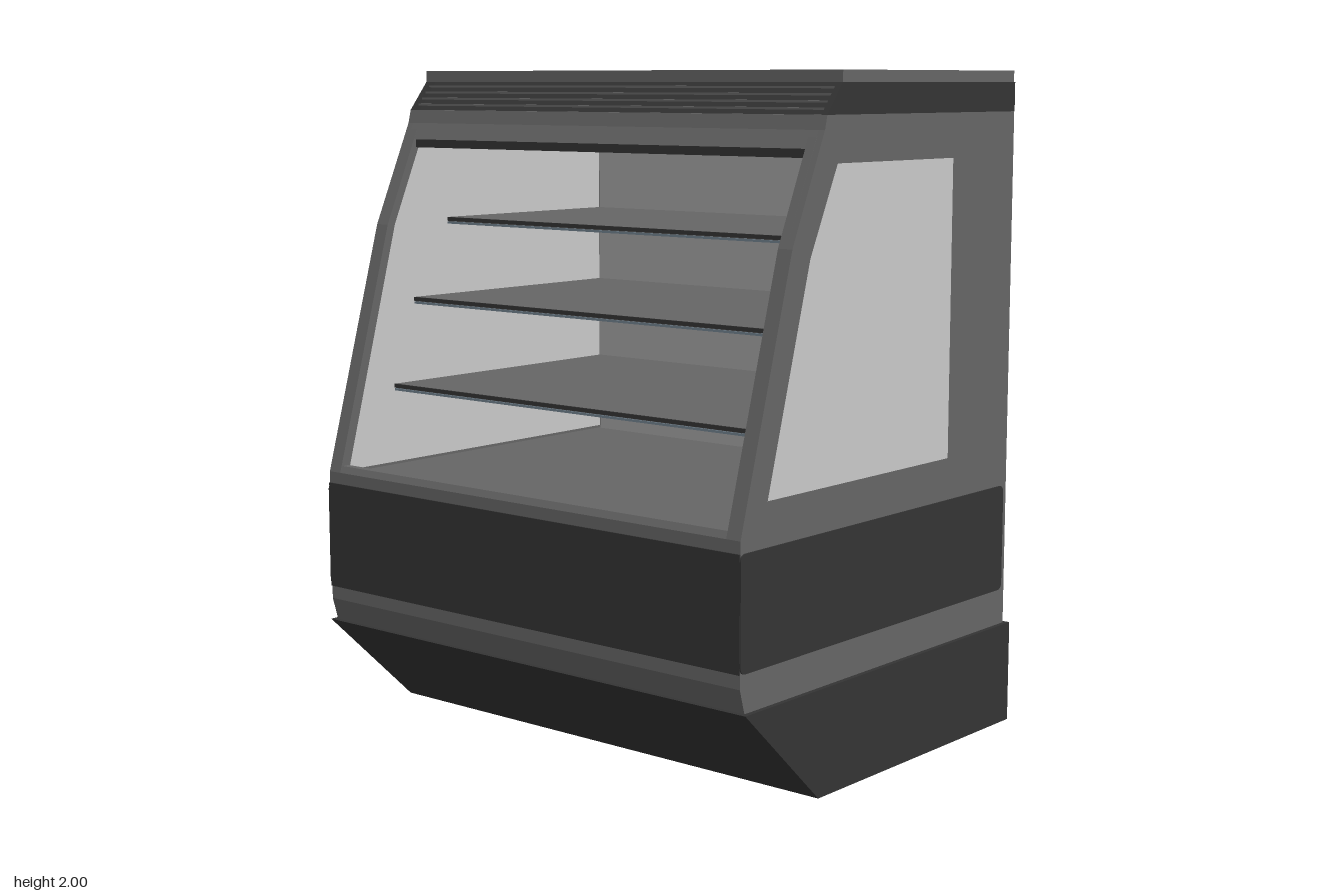
import * as THREE from 'three';

const mat = (name, color) => {
  const m = new THREE.MeshStandardMaterial({ color });
  m.name = name;
  return m;
};

// Side-on [z, y] points to a shape whose local x is -z
const sideShape = (pts) => new THREE.Shape(pts.map(([z, y]) => new THREE.Vector2(-z, y)));

// Rectangle with rounded corners
function roundedRect(x0, y0, x1, y1, r) {
  const s = new THREE.Shape();
  s.absarc(x1 - r, y1 - r, r, 0, Math.PI / 2);
  s.absarc(x0 + r, y1 - r, r, Math.PI / 2, Math.PI);
  s.absarc(x0 + r, y0 + r, r, Math.PI, Math.PI * 1.5);
  s.absarc(x1 - r, y0 + r, r, Math.PI * 1.5, Math.PI * 2);
  s.closePath();
  return s;
}

export function createModel() {
  const group = new THREE.Group();
  const grey = mat('cabinetGrey', 0x666666);
  const dark = mat('darkTrim', 0x343434);
  const pale = mat('paleWindow', 0xcacaca);
  const mid = mat('midGreyPanel', 0xa3a3a3);
  const blue = mat('blueGreyStrip', 0x71818e);

  const add = (name, geometry, material) => {
    const m = new THREE.Mesh(geometry, material);
    m.name = name;
    group.add(m);
    return m;
  };
  // Extrude a side-on shape across x0..x1
  const across = (name, shape, x0, x1, material) => {
    const g = new THREE.ExtrudeGeometry(shape, { depth: x1 - x0, bevelEnabled: false, curveSegments: 5 });
    g.rotateY(Math.PI / 2).translate(x0, 0, 0);
    return add(name, g, material);
  };
  const box = (name, x0, x1, y0, y1, z0, z1, material) => add(name,
    new THREE.BoxGeometry(x1 - x0, y1 - y0, z1 - z0)
      .translate((x0 + x1) / 2, (y0 + y1) / 2, (z0 + z1) / 2), material);
  // Build the same piece on both sides
  const bothSides = (name, shape, x0, x1, material) => {
    across(name + 'Left', shape, x0, x1, material);
    across(name + 'Right', shape, -x1, -x0, material);
  };

  const W = 0.805, IN = 0.785;

  // Plinth with a sloping toe
  across('base', sideShape([[0.66, 0.31], [0.33, 0], [-0.665, 0], [-0.665, 0.31]]), -0.82, 0.82, dark);

  // Side panels with a window opening
  const panel = sideShape([[0.645, 0.31], [0.665, 0.38], [0.665, 0.78], [0.45, 1.53],
    [0.31, 1.84], [0.3, 1.88], [-0.65, 1.88], [-0.65, 0.31]]);
  panel.holes.push(sideShape([[0.55, 0.87], [0.37, 1.5], [0.25, 1.75], [-0.32, 1.75], [-0.32, 0.87]]));
  bothSides('sidePanel', panel, IN, W, grey);

  // Panes behind the openings, also lining the interior
  bothSides('sideWindow', sideShape([[0.63, 0.78], [0.43, 1.5], [0.3, 1.78], [-0.55, 1.78], [-0.55, 0.78]]),
    IN - 0.008, IN - 0.001, pale);

  // Front posts following the raked profile
  bothSides('frontPost', sideShape([[0.665, 0.78], [0.45, 1.53], [0.32, 1.82], [0.29, 1.82], [0.42, 1.53],
    [0.63, 0.78]]), 0.757, IN, grey);

  // Lower body with display floor and raised front sill
  across('lowerBody', sideShape([[0.645, 0.31], [0.665, 0.38], [0.665, 0.78], [0.655, 0.8], [0.63, 0.8],
    [0.59, 0.77], [-0.65, 0.77], [-0.65, 0.31]]), -IN, IN, grey);

  // Header above the opening
  across('header', sideShape([[0.333, 1.79], [0.31, 1.84], [0.3, 1.88], [-0.65, 1.88], [-0.65, 1.79]]),
    -IN, IN, grey);
  box('headerLip', -0.757, 0.757, 1.765, 1.79, 0.29, 0.325, dark);

  // Back wall and its pale inner lining
  box('backWall', -IN, IN, 0.77, 1.79, -0.65, -0.56, grey);
  box('backLining', -0.777, 0.777, 0.77, 1.79, -0.56, -0.552, mid);

  // Shelves, deeper towards the bottom
  [[1.54, 0.17], [1.295, 0.32], [1.028, 0.41]].forEach(([y, z]) => {
    box('shelf', -0.776, 0.776, y - 0.014, y, -0.55, z, grey);
    box('shelfEdge', -0.776, 0.776, y - 0.012, y, z, z + 0.006, dark);
    box('shelfStrip', -0.776, 0.776, y - 0.021, y - 0.014, z - 0.004, z + 0.005, blue);
  });

  // Dark bumper band round the front and sides
  bothSides('sideBand', roundedRect(-0.668, 0.42, 0.63, 0.745, 0.02), W, W + 0.004, dark);
  box('frontBand', -W, W, 0.42, 0.745, 0.664, 0.669, dark);

  // Dark crown: recessed centre between two end cheeks
  bothSides('crownCheek', sideShape([[0.3, 1.88], [0.23, 1.967], [-0.652, 1.967], [-0.652, 1.88]]), IN, W, dark);
  across('crown', sideShape([[0.28, 1.88], [0.21, 1.967], [-0.652, 1.967], [-0.652, 1.88]]), -IN, IN, dark);

  // Louvre slats on the sloping crown front
  for (let i = 0; i < 4; i++) {
    const y = 1.893 + i * 0.019, z = 0.285 - i * 0.0155;
    box('louvreSlat', -IN, IN, y, y + 0.006, z - 0.03, z, grey);
  }

  // Roof cap
  box('roof', -W, W, 1.967, 2, -0.645, 0.23, grey);

  // Rear access panels
  for (const s of [-1, 1]) {
    const g = new THREE.ExtrudeGeometry(roundedRect(-0.228, 0.455, 0.228, 1.15, 0.02),
      { depth: 0.005, bevelEnabled: false, curveSegments: 5 });
    add('rearPanel', g.translate(s * 0.51, 0, -0.655), mid);
  }
  return group;
}
